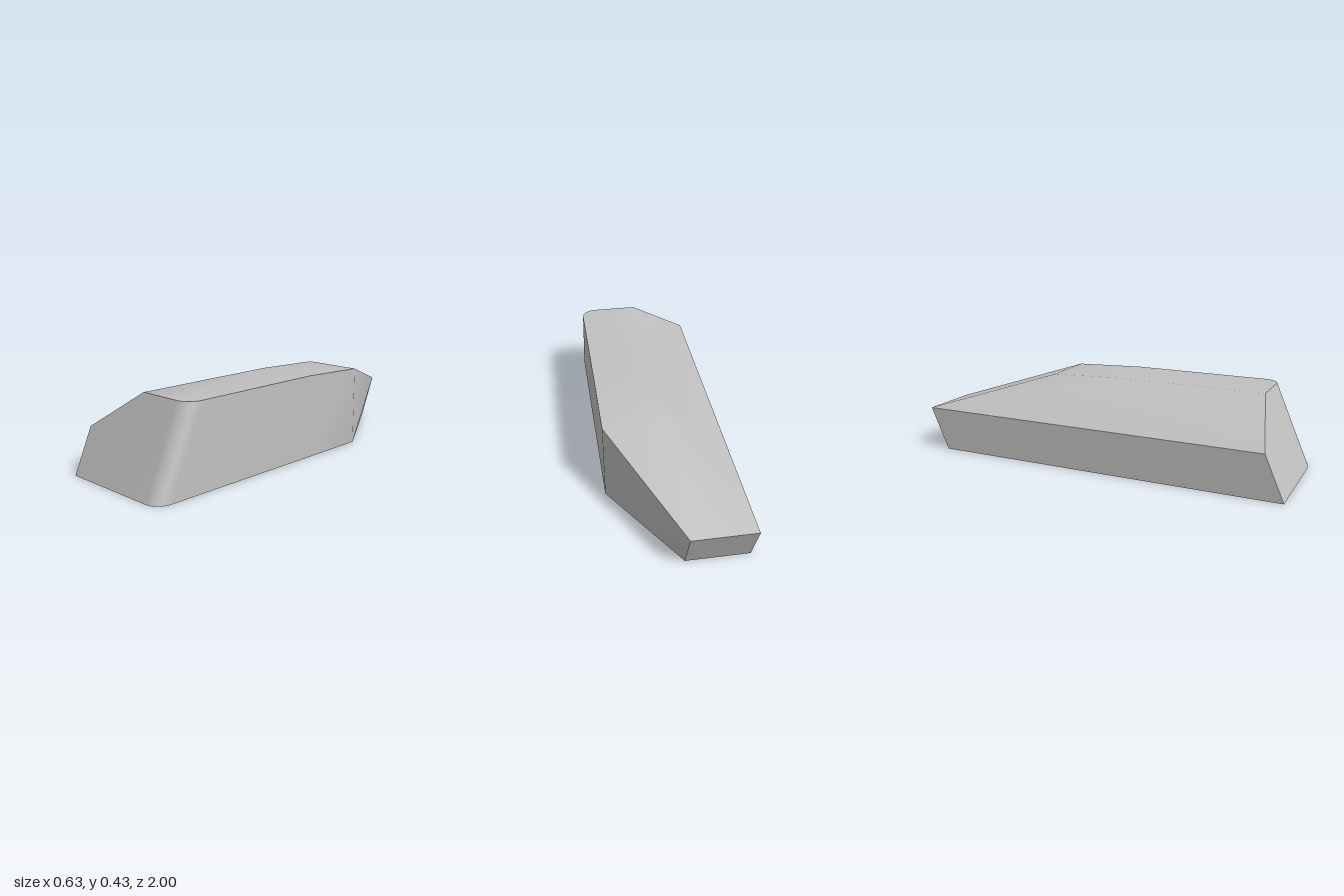
import * as THREE from 'three';
import { toCreasedNormals } from 'three/addons/utils/BufferGeometryUtils.js';

const W = 0.315, EDGE = 0.229, TOP = 0.433, SHOULDER = 0.417, R = 0.08, STEPS = 10;
const frontZ = (y) => 1 - y * 0.44; // raked front plane

// Front edge on the ridge line, then the rounded front corner
function frontCorner(y) {
  const z = frontZ(y), points = [[0, y, z]];
  for (let i = 0; i <= STEPS; i++) {
    const a = (i / STEPS) * Math.PI / 2;
    points.push([W - R + R * Math.sin(a), y, z - R + R * Math.cos(a)]);
  }
  return points;
}

export function createModel() {
  const grey = new THREE.MeshStandardMaterial({ color: 0xc0c0c0 });
  grey.name = 'grey';

  // Matching outlines of the base and the upper rim, running front, +x side, back
  const base = [[-W, 0, 1], ...frontCorner(0), [W, 0, 0], [W, 0, -0.38], [0, 0, -0.9], [-W, 0, -0.9]];
  const rim = [[-W, EDGE, frontZ(EDGE)], ...frontCorner(TOP), [W, TOP, 0], [W, SHOULDER, -0.38], [0, EDGE, -1], [-W, EDGE, -1]];
  const n = base.length, last = n - 1;
  const positions = [];
  const tri = (a, b, c) => positions.push(...a, ...b, ...c);

  // Walls
  for (let i = 0; i < n; i++) {
    const j = (i + 1) % n;
    tri(base[i], base[j], rim[j]);
    tri(base[i], rim[j], rim[i]);
  }
  // Underside
  for (let i = 0; i < last - 1; i++) tri(base[last], base[i + 1], base[i]);

  // Flat top, fanned from the rear end of the ridge
  const ridge = [0, TOP, 0], knee = [0, SHOULDER, -0.38];
  for (let i = 1; i < n - 4; i++) tri(ridge, rim[i], rim[i + 1]);
  // Falling top and sloped tail
  const [side, shoulder, tail, tailCorner] = rim.slice(-4);
  tri(ridge, side, shoulder);
  tri(ridge, shoulder, knee);
  tri(knee, shoulder, tail);
  tri(knee, tail, tailCorner);
  tri(ridge, knee, tailCorner);
  // Long bevel on the -x side
  tri(rim[0], rim[1], ridge);
  tri(rim[0], ridge, tailCorner);

  const geometry = new THREE.BufferGeometry();
  geometry.setAttribute('position', new THREE.Float32BufferAttribute(positions, 3));
  const body = new THREE.Mesh(toCreasedNormals(geometry, THREE.MathUtils.degToRad(40)), grey);
  body.name = 'bevelledBlock';

  const group = new THREE.Group();
  group.name = 'model';
  group.add(body);
  return group;
}
